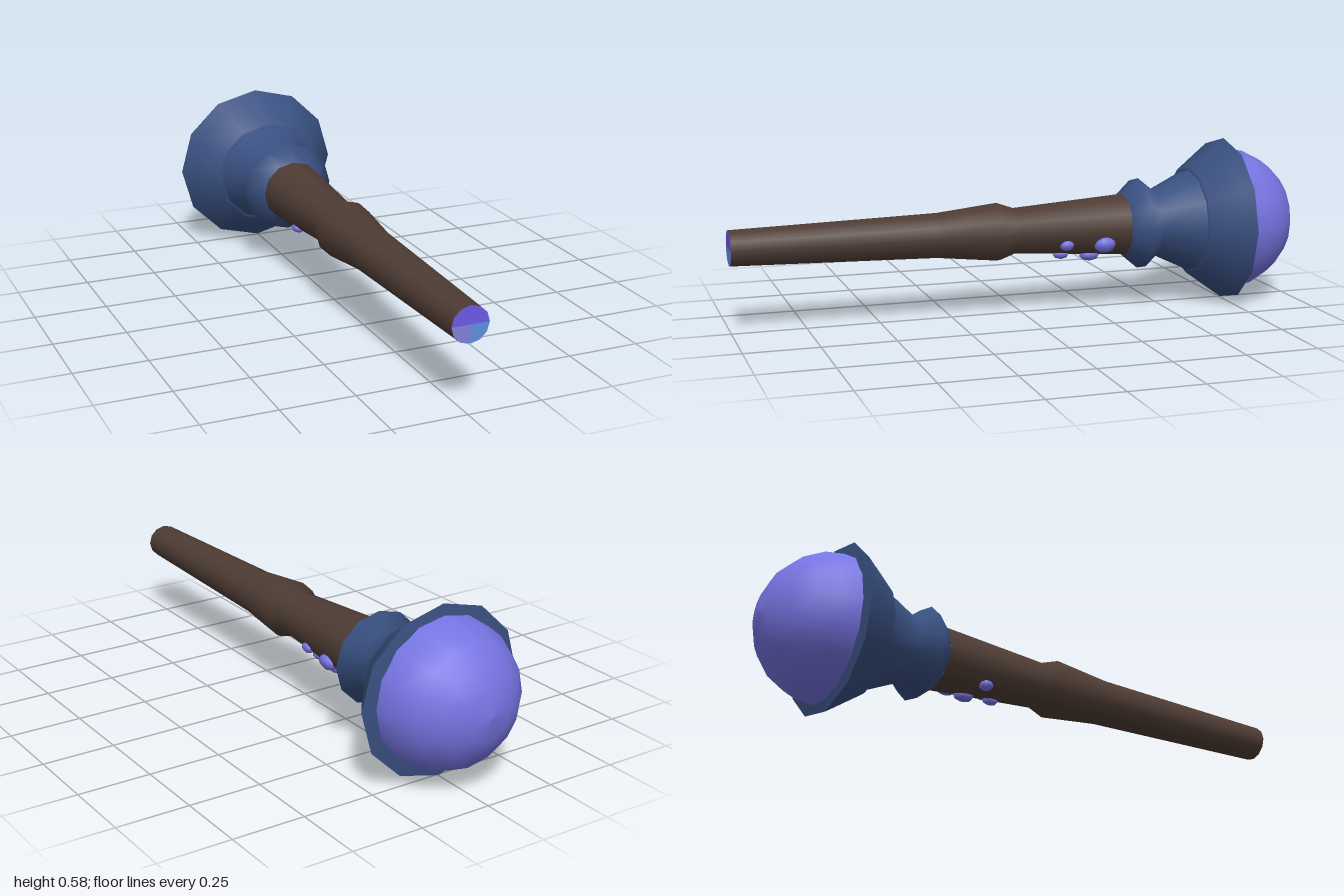
import * as THREE from 'three';

const AXIS_Y = 0.288; // height of the long axis
const SQUASH = 0.96; // body is slightly flattened in y
const SIDES = 12;

const flat = (name, color, side = THREE.FrontSide) => {
  const m = new THREE.MeshStandardMaterial({ color, side });
  m.name = name;
  return m;
};

export function createModel() {
  const group = new THREE.Group();
  group.name = 'microphone';
  const brown = flat('brown', 0x4e3c34);
  const blue = flat('blue', 0x395081, THREE.DoubleSide);
  const violet = flat('violet', 0x7674e2);
  const capPurple = flat('cap purple', 0x715ef2);
  const capLavender = flat('cap lavender', 0x8280d8);
  const capBlue = flat('cap blue', 0x5c90de);

  const add = (name, geometry, material, squash = SQUASH) => {
    geometry.scale(1, squash, 1);
    geometry.translate(0, AXIS_Y, 0);
    const mesh = new THREE.Mesh(geometry, material);
    mesh.name = name;
    group.add(mesh);
  };

  // Turned part from [radius, z] pairs; z running from +1 to -1 faces outwards
  const turned = (name, profile, material, sides = SIDES, squash = SQUASH) => {
    const g = new THREE.LatheGeometry(profile.map(([r, z]) => new THREE.Vector2(r, -z)), sides);
    g.rotateX(-Math.PI / 2);
    add(name, g, material, squash);
  };

  // Tapered grip with a raised ring in the middle
  turned('grip', [[0.063, 1], [0.081, 0.3], [0.105, 0.09], [0.083, 0.03], [0.113, -0.37]], brown);

  // Collar running smoothly into the neck below the head
  turned('collar', [[0.1, -0.37], [0.115, -0.371], [0.167, -0.43], [0.12, -0.485], [0.189, -0.625]], blue);

  // Flared cup, its outer rim and the thin ledge around the head
  turned('cup', [[0.185, -0.621], [0.2, -0.622], [0.268, -0.712]], blue);
  turned('cupRim', [[0.268, -0.712], [0.3, -0.755]], blue);
  turned('cupLedge', [[0.3, -0.755], [0.235, -0.765]], blue);

  // Domed head, truly round
  const dome = [];
  for (let i = 0; i <= 5; i++) {
    const a = (i / 5) * Math.PI / 2;
    dome.push([Math.max(0, 0.252 * Math.cos(a)), -0.75 - 0.25 * Math.sin(a)]);
  }
  turned('head', dome, violet, 16, 1);

  // End cap in three coloured sectors
  const sectors = [
    ['capTop', 0, Math.PI, capPurple],
    ['capLowerRight', Math.PI, Math.PI / 2, capLavender],
    ['capLowerLeft', Math.PI * 1.5, Math.PI / 2, capBlue],
  ];
  for (const [name, start, length, material] of sectors) {
    const g = new THREE.CircleGeometry(0.063, Math.round(SIDES * length / (2 * Math.PI)), start, length);
    g.translate(0, 0, 1);
    add(name, g, material);
  }

  // Small buttons on the underside: [angle from +x, z, radius]
  const buttons = [
    [-0.55, -0.14, 0.026],
    [-0.53, -0.275, 0.039],
    [-1.27, -0.135, 0.029],
    [-1.3, -0.24, 0.037],
    [-2.15, -0.2, 0.026],
  ];
  for (const [angle, z, size] of buttons) {
    const g = new THREE.SphereGeometry(size, 8, 6);
    g.scale(0.6, 0.8, 1);
    g.translate(0.083 + 0.075 * (0.03 - z), 0, z);
    g.rotateZ(angle);
    add('button', g, violet);
  }
  return group;
}
